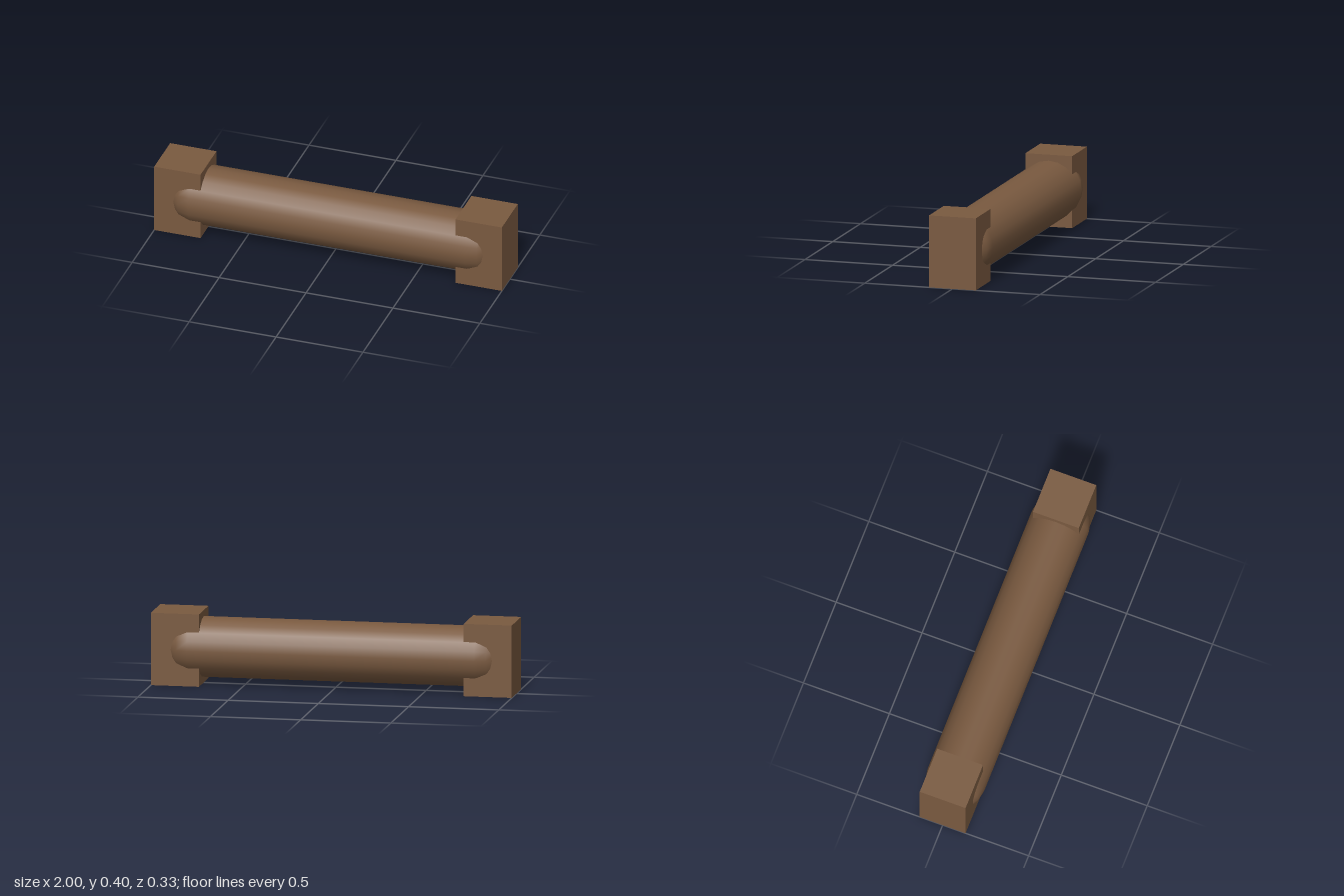
import * as THREE from 'three';

export function createModel() {
  const group = new THREE.Group();
  const wood = new THREE.MeshStandardMaterial({ color: 0x7a5a40 });
  wood.name = 'brown wood';

  // Round-ended log lying along x
  const logGeometry = new THREE.CapsuleGeometry(0.1667, 1.592, 4, 20);
  logGeometry.rotateZ(Math.PI / 2);
  const log = new THREE.Mesh(logGeometry, wood);
  log.name = 'log';
  log.position.y = 0.2;
  group.add(log);

  // Square block holding each end of the log
  for (const side of [-1, 1]) {
    const block = new THREE.Mesh(new THREE.BoxGeometry(0.2667, 0.4, 0.2667), wood);
    block.name = side > 0 ? 'leftEndBlock' : 'rightEndBlock';
    block.position.set(side * 0.86665, 0.2, 0);
    group.add(block);
  }
  return group;
}
